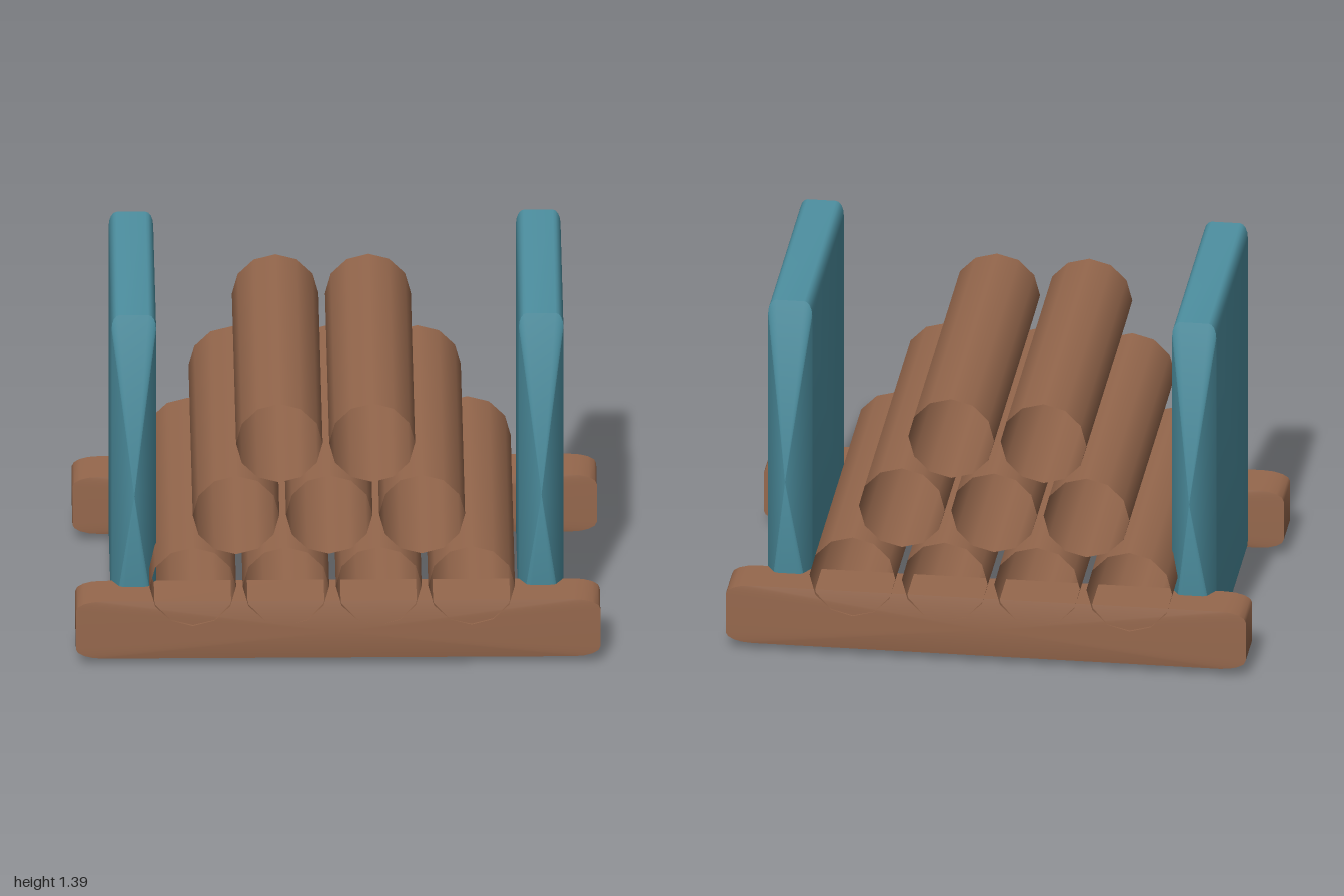
import * as THREE from 'three';
import { toCreasedNormals } from 'three/addons/utils/BufferGeometryUtils.js';

// Rectangle outline with elliptical corners, counter-clockwise
function roundedOutline(hw, hh, rx, ry, steps = 4) {
  const points = [];
  [[1, 1], [-1, 1], [-1, -1], [1, -1]].forEach(([sx, sy], corner) => {
    for (let i = 0; i <= steps; i++) {
      const a = (corner + i / steps) * Math.PI / 2;
      points.push([sx * (hw - rx) + rx * Math.cos(a), sy * (hh - ry) + ry * Math.sin(a)]);
    }
  });
  return points;
}

// Prism along z whose two ends rise to shallow pyramid points
function pointedBlock(outline, halfDepth, tip) {
  const n = outline.length;
  const positions = [];
  for (const z of [-halfDepth, halfDepth]) {
    for (const [x, y] of outline) positions.push(x, y, z);
  }
  positions.push(0, 0, -tip, 0, 0, tip);
  const index = [];
  for (let i = 0; i < n; i++) {
    const j = (i + 1) % n;
    index.push(i, j, n + j, i, n + j, n + i); // side wall
    index.push(2 * n, j, i, 2 * n + 1, n + i, n + j); // back and front points
  }
  const geometry = new THREE.BufferGeometry();
  geometry.setAttribute('position', new THREE.Float32BufferAttribute(positions, 3));
  geometry.setIndex(index);
  return toCreasedNormals(geometry, Math.PI / 5);
}

export function createModel() {
  const model = new THREE.Group();
  const wood = new THREE.MeshStandardMaterial({ color: 0x96684d });
  const bark = new THREE.MeshStandardMaterial({ color: 0x96684d, side: THREE.DoubleSide });
  const paint = new THREE.MeshStandardMaterial({ color: 0x4e91a2 });

  const add = (name, geometry, material, x, y, z) => {
    const mesh = new THREE.Mesh(geometry, material);
    mesh.name = name;
    mesh.position.set(x, y, z);
    model.add(mesh);
    return mesh;
  };

  // Upright side panels
  const panel = pointedBlock(roundedOutline(0.085, 0.695, 0.03, 0.06), 0.46, 0.61);
  add('leftPanel', panel, paint, 0.777, 0.695, 0);
  add('rightPanel', panel, paint, -0.777, 0.695, 0);

  // Cross rails at the front and back
  const rail = pointedBlock(roundedOutline(1, 0.12, 0.1, 0.04), 0.093, 0.12);
  add('frontRail', rail, wood, 0, 0.15, 0.555);
  add('backRail', rail, wood, 0, 0.15, -0.555);

  // Stack of hollow logs, four, three and two to a row
  const log = new THREE.CylinderGeometry(0.165, 0.165, 1.336, 12, 1, true);
  log.rotateX(Math.PI / 2);
  [4, 3, 2].forEach((count, row) => {
    for (let i = 0; i < count; i++) {
      const x = -0.555 + row * 0.165 + i * 0.355;
      add(`logRow${row + 1}Number${i + 1}`, log, bark, x, 0.34 + row * 0.302, 0);
    }
  });

  return model;
}
